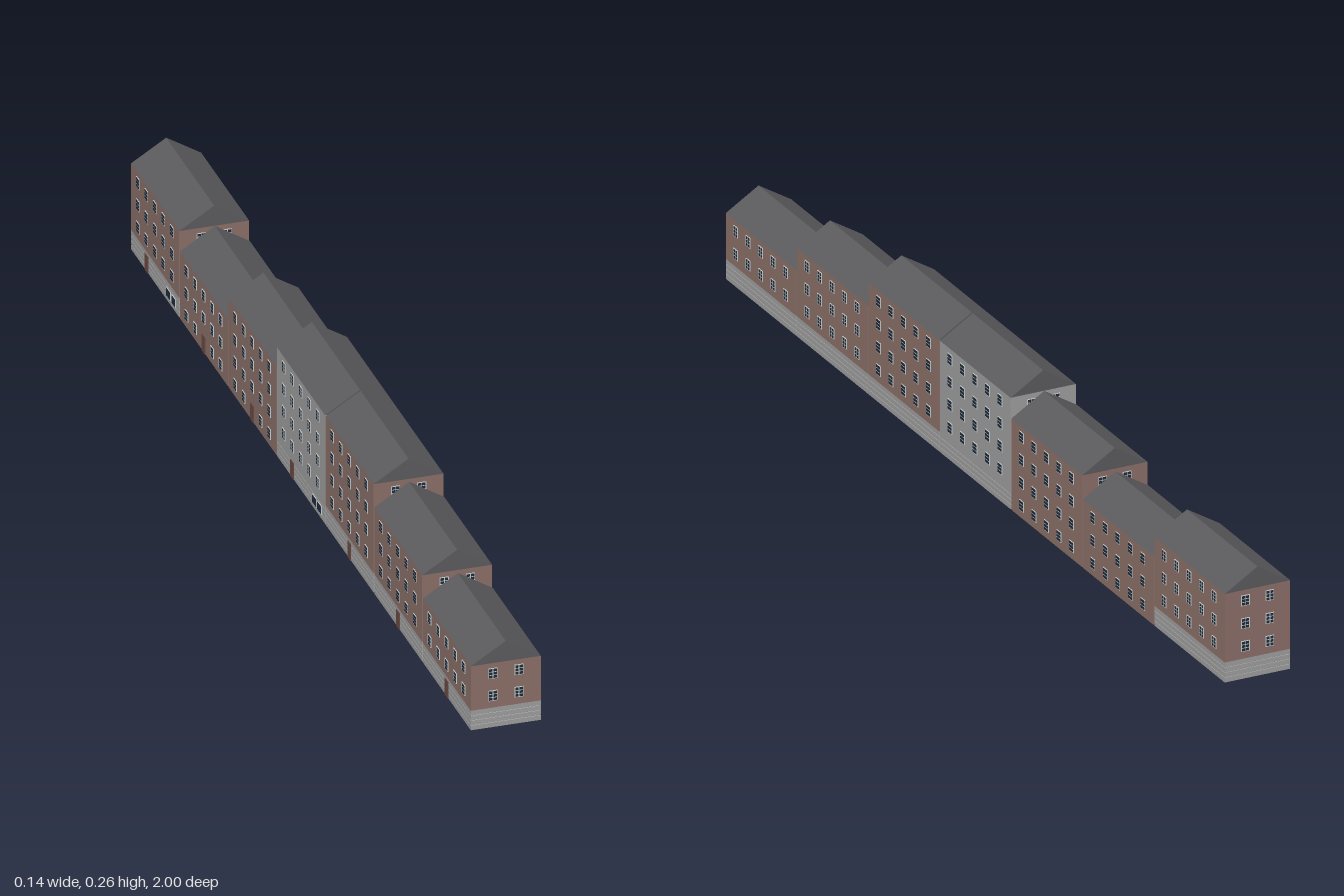
import * as THREE from 'three';
import { mergeGeometries } from 'three/addons/utils/BufferGeometryUtils.js';

const PITCH = 2 / 7, HALF_W = 0.067, HALF_L = 0.141;
const STOREY = 0.0457, PLINTH = 0.04, RISE = 0.0415;

function paint(name, color, side = THREE.FrontSide) {
  const m = new THREE.MeshStandardMaterial({ color, side });
  m.name = name;
  return m;
}

// Open rectangular shell lofted through [inset, y] points
function shell(profile) {
  const pos = [];
  const ring = ([inset, y]) => {
    const x = HALF_W - inset, z = HALF_L - inset;
    return [[x, y, z], [x, y, -z], [-x, y, -z], [-x, y, z]];
  };
  for (let i = 0; i + 1 < profile.length; i++) {
    const lo = ring(profile[i]), hi = ring(profile[i + 1]);
    for (let k = 0; k < 4; k++) {
      const n = (k + 1) % 4;
      pos.push(...lo[k], ...lo[n], ...hi[n], ...lo[k], ...hi[n], ...hi[k]);
    }
  }
  const g = new THREE.BufferGeometry();
  g.setAttribute('position', new THREE.Float32BufferAttribute(pos, 3));
  g.computeVertexNormals();
  return g;
}

// Stone base with shallow joints between its courses
function plinthProfile() {
  const pts = [], courses = 4, h = PLINTH / courses, j = 0.0006;
  for (let i = 0; i < courses; i++) {
    pts.push([0, i * h + (i ? j : 0)], [0, (i + 1) * h - (i < courses - 1 ? j : 0)]);
    if (i < courses - 1) pts.push([0.0008, (i + 1) * h]);
  }
  return pts;
}

function roofGeometry(eave) {
  const s = new THREE.Shape();
  s.moveTo(-HALF_W, 0);
  s.lineTo(HALF_W, 0);
  s.lineTo(0, RISE);
  s.closePath();
  const len = 2 * HALF_L;
  return new THREE.ExtrudeGeometry(s, { depth: len, bevelEnabled: false })
    .translate(0, eave, -HALF_L);
}

// Places a plate on a wall: 'side' walls face x, 'end' walls face z
function place(g, wall, sign, along, y) {
  if (wall === 'side') g.rotateY(Math.PI / 2).translate(sign * HALF_W, y, along);
  else g.translate(along, y, sign * HALF_L);
  return g;
}

// Pale frame with a grid of dark panes, seen from both sides of the wall
function addWindow(parts, wall, sign, along, y, w = 0.017, h = 0.021, cols = 2, rows = 3) {
  parts.frames.push(place(new THREE.BoxGeometry(w, h, 0.0026), wall, sign, along, y));
  const cw = (w - 0.001) / cols, ch = (h - 0.001) / rows;
  for (let c = 0; c < cols; c++) for (let r = 0; r < rows; r++) {
    const pane = new THREE.BoxGeometry(cw - 0.0015, ch - 0.0015, 0.0032);
    pane.translate((c - (cols - 1) / 2) * cw, (r - (rows - 1) / 2) * ch, 0);
    parts.panes.push(place(pane, wall, sign, along, y));
  }
}

export function createModel() {
  const brick = paint('brick', 0x8c7069, THREE.DoubleSide);
  const stone = paint('grey stone', 0x9f9f9f, THREE.DoubleSide);
  const slate = paint('roof slate', 0x5c5b5e);
  const white = paint('window frame', 0xc9d0d0);
  const glass = paint('dark glass', 0x1f2a3a);
  const wood = paint('door wood', 0x6b4a42);

  // Terrace from front (+z) to back
  const houses = [
    { storeys: 2, plinth: true, wall: brick },
    { storeys: 3, plinth: true, wall: brick },
    { storeys: 4, plinth: true, wall: brick },
    { storeys: 4, plinth: true, wall: stone, shop: true },
    { storeys: 4, plinth: false, wall: brick },
    { storeys: 3, plinth: false, wall: brick },
    { storeys: 3, plinth: true, wall: brick, shop: true },
  ];

  const model = new THREE.Group();
  model.name = 'terrace';

  houses.forEach((h, i) => {
    const house = new THREE.Group();
    house.name = `house${i + 1}`;
    house.position.z = (3 - i) * PITCH;
    const add = (name, geometry, material) => {
      const m = new THREE.Mesh(geometry, material);
      m.name = name;
      house.add(m);
    };

    const base = h.plinth ? PLINTH : 0;
    const eave = base + h.storeys * STOREY;
    if (h.plinth) add('plinth', shell(plinthProfile()), stone);
    add('walls', shell([[0, base], [0, eave]]), h.wall);
    add('roof', roofGeometry(eave), slate);

    const parts = { frames: [], panes: [] };
    const doorZ = h.shop ? -0.05 : 0;
    for (let s = 0; s < h.storeys; s++) {
      const y = base + s * STOREY + 0.025;
      for (const sign of [-1, 1]) {
        // Five bays on the long walls, leaving room for the door
        for (let c = -2; c <= 2; c++) {
          if (!h.plinth && s === 0 && sign < 0 && c === 0) continue;
          addWindow(parts, 'side', sign, c * 0.05, y);
        }
        // Two bays on the gable walls
        for (const x of [-0.025, 0.025]) addWindow(parts, 'end', sign, x, y);
      }
    }
    // Wide ground-floor windows beside the door
    if (h.shop) for (const z of [0.08, 0.11])
      addWindow(parts, 'side', -1, z, 0.018, 0.024, 0.018, 2, 1);

    add('windowFrames', mergeGeometries(parts.frames), white);
    add('windowPanes', mergeGeometries(parts.panes), glass);
    add('door', place(new THREE.BoxGeometry(0.018, 0.034, 0.003), 'side', -1, doorZ, 0.017), wood);
    model.add(house);
  });
  return model;
}
